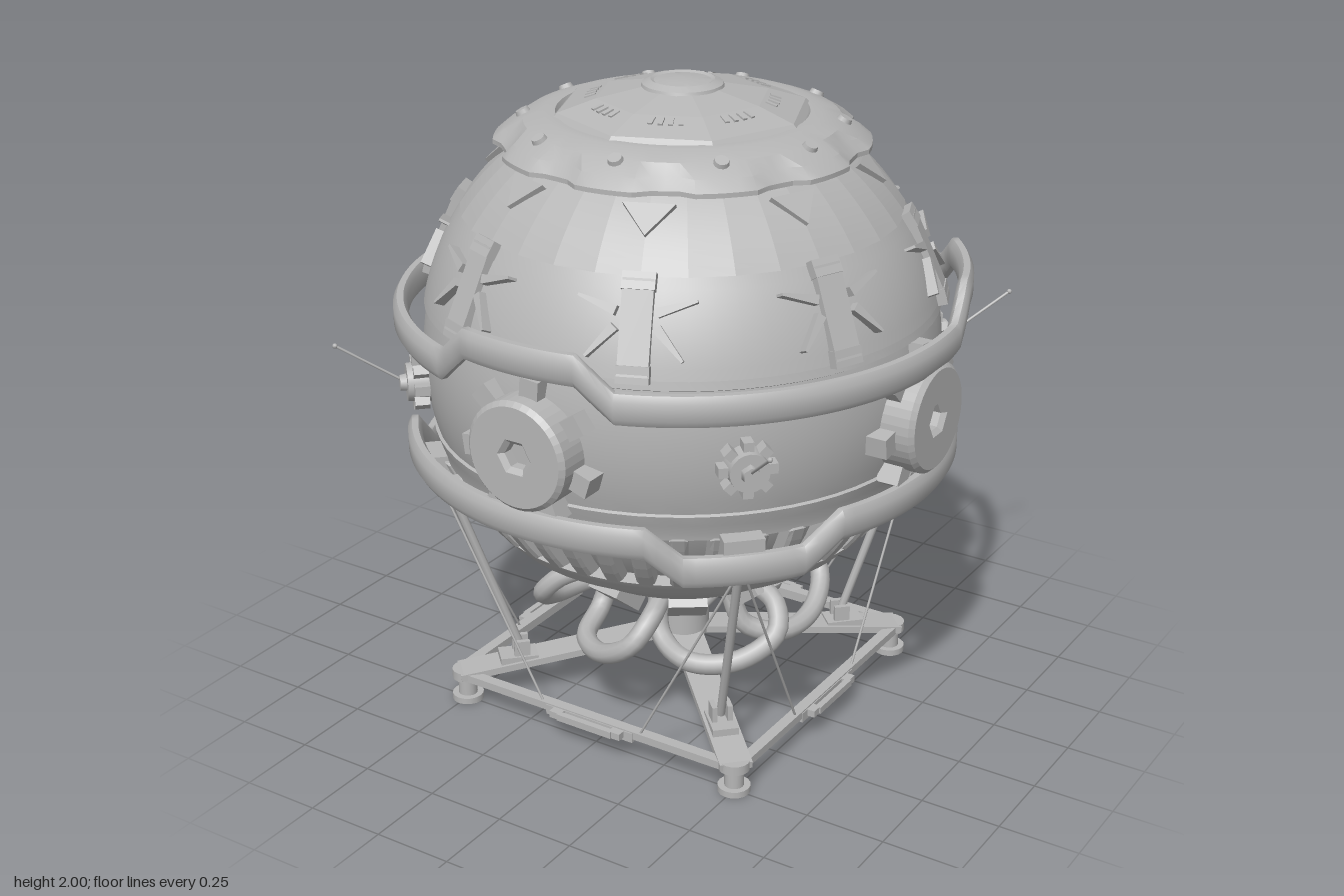
import * as THREE from 'three';
import { toCreasedNormals } from 'three/addons/utils/BufferGeometryUtils.js';

const C = 1.17, R = 0.8, D = Math.PI / 180;
const grey = new THREE.MeshStandardMaterial({ color: 0xb6b6b6 });
grey.name = 'grey metal';
const sphereR = (y) => Math.sqrt(Math.max(0, R * R - (y - C) ** 2));
const polar = (a, r, y) => new THREE.Vector3(r * Math.cos(a * D), y, r * Math.sin(a * D));

export function createModel() {
  const root = new THREE.Group();
  root.name = 'sphereOnStand';

  const add = (name, geo) => {
    const m = new THREE.Mesh(geo, grey);
    m.name = name;
    root.add(m);
    return m;
  };
  // Places a part at azimuth a, height y, radius r; its +z faces outward and tilts up by e degrees
  const place = (name, geo, a, y, r, e = 0, roll = 0) => {
    const m = add(name, geo);
    m.rotation.set(-e * D, Math.PI / 2 - a * D, roll * D, 'YXZ');
    m.position.copy(polar(a, r, y));
    return m;
  };
  // Places a part on the shell at elevation e
  const onShell = (name, geo, a, e, r = R, roll = 0) =>
    place(name, geo, a, C + r * Math.sin(e * D), r * Math.cos(e * D), e, roll);
  const rod = (name, p, q, r, sides = 8) => {
    const d = q.clone().sub(p);
    const m = add(name, new THREE.CylinderGeometry(r, r, d.length(), sides));
    m.position.copy(p).addScaledVector(d, 0.5);
    m.quaternion.setFromUnitVectors(new THREE.Vector3(0, 1, 0), d.normalize());
    return m;
  };
  const lathe = (name, pts, seg = 64, crease = 0.45) => add(name, toCreasedNormals(
    new THREE.LatheGeometry(pts.map(([x, y]) => new THREE.Vector2(x, y)), seg), crease));
  const arc = (y0, y1, n, dr = 0) => Array.from({ length: n + 1 }, (_, i) => {
    const y = y0 + (y1 - y0) * i / n;
    return [sphereR(y) + dr, y];
  });

  // Shell: bowl, rim, recessed vent band, equator band, dome
  lathe('bowl', [[0, 0.38], [0.2, 0.395], ...arc(0.42, 0.59, 6, -0.02)]);
  lathe('bowlRim', [[0.5, 0.585], [0.565, 0.59], [0.605, 0.63], [0.62, 0.65], [0.56, 0.665]]);
  lathe('ventRecess', arc(0.65, 0.87, 5, -0.04));
  lathe('equatorBand', [[0.7, 0.855], [0.742, 0.86], ...arc(0.88, 0.945, 2), ...arc(0.95, 1.33, 10, -0.01), ...arc(1.335, 1.36, 1)]);
  lathe('dome', arc(1.36, 1.62, 8));
  lathe('upperDome', [...arc(1.62, 1.86, 8, 0.004), [0.37, 1.89]], 32, 0.1);

  // Vent ribs
  const ribShape = new THREE.Shape([...arc(0.65, 0.865, 5, 0.016).map(([x, y]) => new THREE.Vector2(x, y)),
    new THREE.Vector2(0.64, 0.865), new THREE.Vector2(0.52, 0.65)]);
  const ribGeo = new THREE.ExtrudeGeometry(ribShape, { depth: 0.034, bevelSize: 0.008, bevelThickness: 0.01, bevelOffset: -0.008, bevelSegments: 1 });
  ribGeo.translate(0, 0, -0.017);
  for (let i = 0; i < 40; i++) add('ventRib', ribGeo).rotation.y = (i + 0.5) * 9 * D;

  // Flat tube rails with three raised or lowered stretches
  const rail = (name, y0, r0, step, inset, first) => {
    const N = 144, sec = [[1, -0.55], [1, 0.55], [0.45, 1], [-0.45, 1], [-1, 0.55], [-1, -0.55], [-0.45, -1], [0.45, -1]];
    const pos = [], idx = [], M = sec.length;
    for (let i = 0; i < N; i++) {
      const a = i * 2.5;
      const off = Math.abs((((a - first) % 120) + 180) % 120 - 60);
      const k = THREE.MathUtils.clamp((20 - off) / 7.5, 0, 1);
      sec.forEach(([u, v], j) => {
        pos.push(...polar(a, r0 - inset * k + u * 0.022, y0 + step * k + v * 0.046).toArray());
        const i2 = (i + 1) % N, j2 = (j + 1) % M;
        const p = i * M + j, q = i * M + j2, s = i2 * M + j2, t = i2 * M + j;
        idx.push(p, q, s, p, s, t);
      });
    }
    const g = new THREE.BufferGeometry();
    g.setAttribute('position', new THREE.Float32BufferAttribute(pos, 3));
    g.setIndex(idx);
    add(name, toCreasedNormals(g, 0.9));
  };
  rail('upperRail', 1.308, 0.853, 0.098, 0, 90);
  rail('lowerRail', 0.892, 0.828, -0.098, 0.025, 45);

  // Large round ports with a six-sided socket and a ring of lugs
  const disc = new THREE.Shape().absarc(0, 0, 0.152, 0, Math.PI * 2);
  disc.holes.push(new THREE.Path(Array.from({ length: 6 }, (_, i) =>
    new THREE.Vector2(0.058 * Math.cos(i * 60 * D), 0.058 * Math.sin(i * 60 * D)))));
  const portGeo = new THREE.ExtrudeGeometry(disc, { depth: 0.11, bevelSize: 0.014, bevelThickness: 0.014, bevelSegments: 1, curveSegments: 20 });
  for (let a = 0; a < 360; a += 90) {
    place('port', portGeo, a, 1.115, 0.75);
    place('portSocket', new THREE.CircleGeometry(0.08, 6), a, 1.115, 0.83);
    for (let k = 0; k < 7; k++) {
      const t = (85 + k * 360 / 7) * D;
      const lug = new THREE.BoxGeometry(0.062, 0.06, 0.07);
      lug.rotateZ(t - Math.PI / 2);
      lug.translate(0.19 * Math.cos(t), 0.19 * Math.sin(t), 0);
      place('portLug', lug, a, 1.115, 0.785);
    }
  }

  // Small toothed hubs with antennas on the diagonals
  const hubGeo = new THREE.CylinderGeometry(0.058, 0.064, 0.09, 20).rotateX(Math.PI / 2);
  for (let a = 45; a < 360; a += 90) {
    place('hub', hubGeo, a, 1.11, 0.805);
    place('hubCap', new THREE.CylinderGeometry(0.025, 0.03, 0.03, 6).rotateX(Math.PI / 2), a, 1.11, 0.855);
    for (let k = 0; k < 8; k++) {
      const tooth = new THREE.BoxGeometry(0.03, 0.03, 0.045);
      tooth.translate(0, 0.07, 0).rotateZ(k * 45 * D);
      place('hubTooth', tooth, a, 1.11, 0.81);
    }
    rod('antenna', polar(a, 0.85, 1.11), polar(a, 1.055, 1.245), 0.0045, 6);
    add('antennaTip', new THREE.SphereGeometry(0.008, 8, 6)).position.copy(polar(a, 1.055, 1.245));
  }

  // Dome straps with pointed side fins, and triangles above them
  const fin = new THREE.ExtrudeGeometry(new THREE.Shape([new THREE.Vector2(0, -0.014),
    new THREE.Vector2(0.115, -0.004), new THREE.Vector2(0.115, 0.004), new THREE.Vector2(0, 0.014)]), { depth: 0.04, bevelEnabled: false });
  const tri = new THREE.ExtrudeGeometry(new THREE.Shape([new THREE.Vector2(-0.075, 0.045),
    new THREE.Vector2(0, -0.055), new THREE.Vector2(0.075, 0.045)]), { depth: 0.03, bevelEnabled: false });
  for (let a = 22.5; a < 360; a += 45) {
    onShell('strap', new THREE.BoxGeometry(0.088, 0.27, 0.05), a, 24, 0.792);
    onShell('strapHead', new THREE.BoxGeometry(0.094, 0.05, 0.05), a, 33, 0.802);
    onShell('strapFoot', new THREE.BoxGeometry(0.094, 0.05, 0.05), a, 15, 0.802);
    for (const s of [1, -1]) {
      onShell('upperFin', fin, a - s * 4.5, 27, 0.785, s > 0 ? 18 : 162);
      onShell('lowerFin', fin, a - s * 4.5, 24, 0.785, s > 0 ? -50 : 230);
    }
    onShell('triangle', tri, a, 46, 0.785);
  }

  // Crown ring with ten lobes and bolts
  const ring = new THREE.LatheGeometry([[0.46, 1.79], [0.56, 1.808], [0.56, 1.822], [0.525, 1.852],
    [0.47, 1.884], [0.41, 1.905], [0.375, 1.905], [0.36, 1.87]].map(([x, y]) => new THREE.Vector2(x, y)), 80);
  const rp = ring.attributes.position;
  for (let i = 0; i < rp.count; i++) {
    const x = rp.getX(i), z = rp.getZ(i), a = Math.atan2(z, x) / D;
    const off = Math.abs(((a - 8.6 + 720 + 18) % 36) - 18);
    const k = Math.hypot(x, z) > 0.5 ? 1 - 0.05 * THREE.MathUtils.clamp((off - 9) / 5, 0, 1) : 1;
    rp.setXYZ(i, x * k, rp.getY(i), z * k);
  }
  add('crownRing', toCreasedNormals(ring, 0.4));
  for (let i = 0; i < 10; i++)
    place('crownBolt', new THREE.CylinderGeometry(0.02, 0.026, 0.022, 12).rotateX(Math.PI / 2), 8.6 + i * 36, 1.882, 0.475, 62);

  // Eight-sided cap, slits and knob
  lathe('cap', [[0.395, 1.895], [0.375, 1.915], [0.26, 1.951], [0.11, 1.98]], 8, 0.1);
  lathe('knob', [[0.125, 1.97], [0.12, 1.985], [0.095, 1.997], [0.085, 1.992], [0.05, 1.996], [0, 2]], 32);
  for (let g = 0; g < 8; g++) for (let k = -1.5; k < 2; k++)
    place('capSlit', new THREE.BoxGeometry(0.014, 0.035, 0.008), 22.5 + g * 45 + k * 6, 1.942, 0.272, 73);

  // Post and underside sockets
  lathe('post', [[0.085, 0.17], [0.085, 0.35], [0.15, 0.4], [0.2, 0.41]], 24);
  for (let a = 0; a < 360; a += 45) {
    place('socket', new THREE.BoxGeometry(0.12, 0.13, 0.09), a + 10, 0.435, 0.29, -50);
    rod('underStay', polar(a + 30, 0.08, 0.27), polar(a + 30, 0.2, 0.42), 0.014);
  }

  // Drooping hoses
  for (let a = 10; a < 360; a += 60) {
    const pts = [[0, 0.3, 0.44], [2, 0.4, 0.41], [8, 0.45, 0.34], [24, 0.42, 0.265], [45, 0.36, 0.25], [62, 0.27, 0.29], [68, 0.22, 0.42]]
      .map(([t, r, y]) => polar(a + t, r, y));
    add('hose', new THREE.TubeGeometry(new THREE.CatmullRomCurve3(pts), 30, 0.032, 10));
  }

  // Stand: feet, arms, frame, handles, struts and wires
  const bar = (name, p, q, w, h) => {
    const m = add(name, new THREE.BoxGeometry(w, h, p.distanceTo(q)));
    m.position.copy(p).add(q).multiplyScalar(0.5);
    m.lookAt(q);
    return m;
  };
  for (let a = 45; a < 360; a += 90) {
    const foot = polar(a, 0.705, 0);
    [[0.05, 0.02, 0.01], [0.03, 0.07, 0.05], [0.048, 0.03, 0.092]].forEach(([r, h, y]) =>
      add('foot', new THREE.CylinderGeometry(r, r, h, 16)).position.set(foot.x, y, foot.z));
    bar('arm', polar(a, 0.73, 0.095), polar(a, 0, 0.185), 0.1, 0.022);
    bar('frameBar', polar(a, 0.735, 0.093), polar(a + 90, 0.735, 0.093), 0.035, 0.025);
    // Handle on the middle of each frame side
    const m = a + 45;
    place('handleGrip', new THREE.BoxGeometry(0.2, 0.022, 0.02), m, 0.09, 0.56);
    place('handlePlate', new THREE.BoxGeometry(0.32, 0.032, 0.03), m, 0.085, 0.525);
    for (const s of [1, -1])
      place('handleEnd', new THREE.BoxGeometry(0.04, 0.022, 0.04).translate(s * 0.11, 0, 0), m, 0.09, 0.545);
    // Strut with clevis and upper bracket
    place('clevisBase', new THREE.BoxGeometry(0.08, 0.03, 0.12), a, 0.13, 0.54);
    for (const s of [1, -1]) place('clevis', new THREE.BoxGeometry(0.016, 0.06, 0.05).translate(s * 0.024, 0, 0), a, 0.165, 0.53);
    rod('strut', polar(a, 0.53, 0.16), polar(a, 0.75, 0.79), 0.014);
    place('bracket', new THREE.BoxGeometry(0.12, 0.08, 0.09), a, 0.84, 0.755);
    place('bracketEye', new THREE.BoxGeometry(0.06, 0.06, 0.05), a, 0.785, 0.75);
    for (const s of [1, -1]) {
      const end = polar(a + s * 45, 0.525, 0.1).add(polar(a - s * 45, 0.18, 0));
      rod('wire', end, polar(a, 0.77, 0.78), 0.004, 6);
    }
  }
  return root;
}
